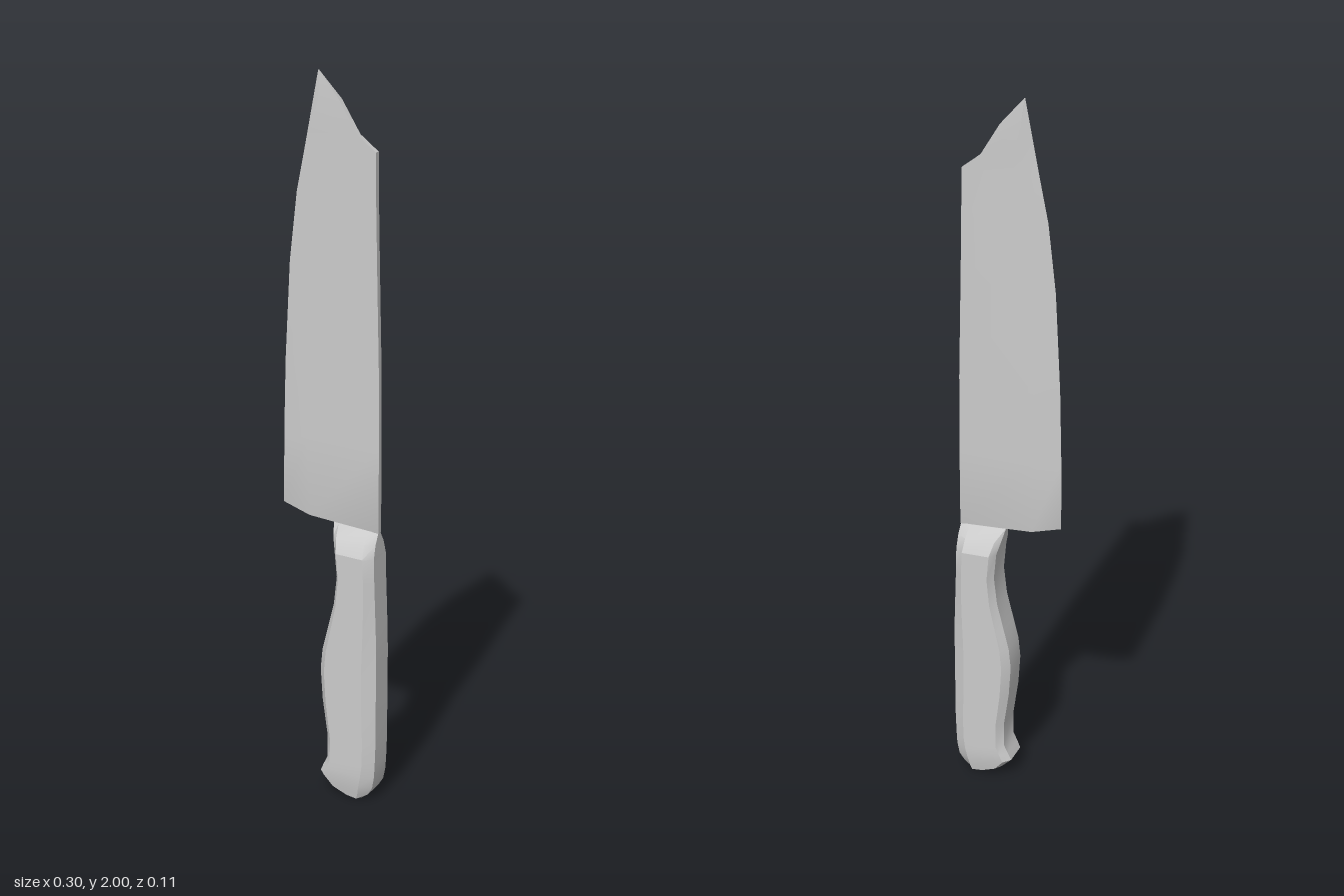
import * as THREE from 'three';
import { toCreasedNormals } from 'three/addons/utils/BufferGeometryUtils.js';

// Skin a stack of rings (bottom to top, counter-clockwise from above) and cap both ends.
function loft(rings, crease) {
  const n = rings[0].length, index = [];
  for (let i = 0; i < rings.length - 1; i++) {
    for (let j = 0; j < n; j++) {
      const a = i * n + j, b = i * n + (j + 1) % n;
      index.push(a, b, b + n, a, b + n, a + n);
    }
  }
  const top = (rings.length - 1) * n;
  for (let j = 1; j < n - 1; j++) {
    index.push(0, j + 1, j, top, top + j, top + j + 1);
  }
  const geometry = new THREE.BufferGeometry();
  geometry.setAttribute('position', new THREE.Float32BufferAttribute(rings.flat(2), 3));
  geometry.setIndex(index);
  return toCreasedNormals(geometry, crease);
}

// Blade ring: sharp edge, end of the bevel, flat spine.
function bladeRing([ex, ey, bx, by, sx, sy, half = 0.008]) {
  const bevel = half * 0.9;
  return [[ex, ey, 0], [bx, by, bevel], [sx, sy, half], [sx, sy, -half], [bx, by, -bevel]];
}

// Handle ring: a chamfered rectangle running from (lx, ly) to (rx, ry).
function handleRing([lx, ly, rx, ry, half]) {
  const at = (t, z) => [lx + (rx - lx) * t, ly + (ry - ly) * t, z];
  const side = half * 0.64, l = 0.12, r = 0.79;
  return [at(0, side), at(l, half), at(r, half), at(1, side),
    at(1, -side), at(r, -half), at(l, -half), at(0, -side)];
}

export function createModel() {
  const group = new THREE.Group();
  const material = new THREE.MeshStandardMaterial({ color: 0xcccccc });
  const add = (name, geometry) => {
    const mesh = new THREE.Mesh(geometry, material);
    mesh.name = name;
    group.add(mesh);
  };

  // Blade: edge x, y; bevel x, y; spine x, y; half thickness
  add('blade', loft([
    [-0.153, 0.825, -0.07, 0.802, 0.14, 0.785],
    [-0.151, 1.02, -0.078, 1.02, 0.14, 1.02],
    [-0.145, 1.23, -0.075, 1.23, 0.138, 1.23],
    [-0.13, 1.5, -0.06, 1.5, 0.131, 1.5],
    [-0.108, 1.685, -0.045, 1.68, 0.127, 1.67],
    [-0.083, 1.805, -0.02, 1.805, 0.125, 1.805],
    [-0.075, 1.845, -0.015, 1.845, 0.073, 1.845],
    [-0.058, 1.93, -0.035, 1.93, 0.02, 1.93],
    [-0.044, 2, -0.043, 2, -0.042, 2, 0.001],
  ].map(bladeRing), 0.5));

  // Handle: belly x, y; back x, y; half depth
  add('handle', loft([
    [0.06, 0.006, 0.105, 0, 0.045],
    [0.01, 0.025, 0.125, 0.015, 0.048],
    [-0.022, 0.058, 0.14, 0.04, 0.053],
    [-0.012, 0.08, 0.146, 0.075, 0.055],
    [0, 0.105, 0.148, 0.11, 0.055],
    [0, 0.175, 0.15, 0.175, 0.055],
    [-0.015, 0.28, 0.15, 0.28, 0.055],
    [-0.021, 0.37, 0.15, 0.37, 0.055],
    [-0.015, 0.43, 0.15, 0.43, 0.055],
    [0, 0.49, 0.149, 0.49, 0.055],
    [0.02, 0.57, 0.146, 0.57, 0.055],
    [0.029, 0.65, 0.143, 0.65, 0.055],
    [0.022, 0.725, 0.141, 0.72, 0.055],
    [0.012, 0.762, 0.14, 0.757, 0.037],
    [0.005, 0.796, 0.139, 0.786, 0.009],
  ].map(handleRing), 0.45));

  return group;
}
